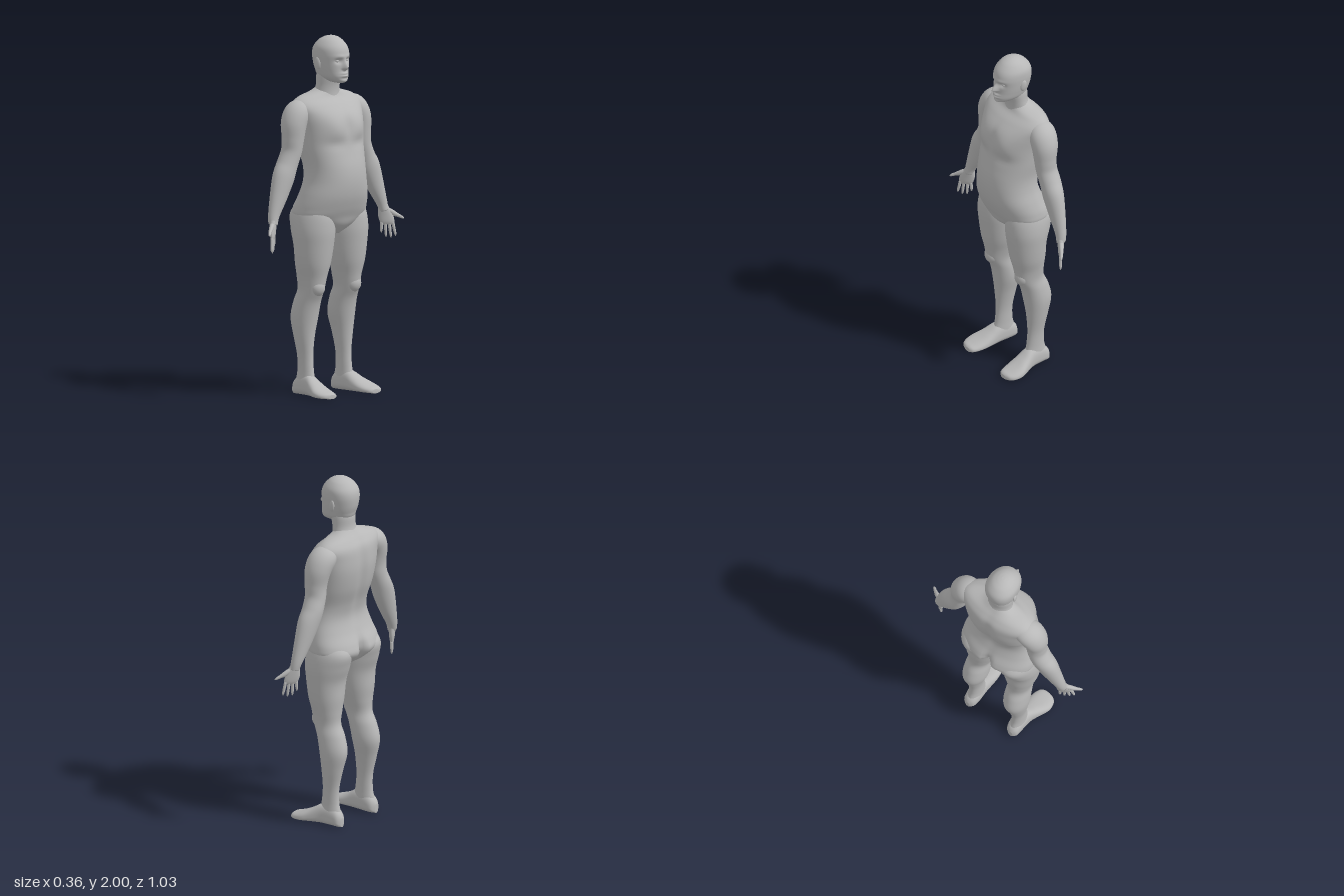
import * as THREE from 'three';

const skin = new THREE.MeshStandardMaterial({ color: 0xb8b8b8 });
skin.name = 'plainGrey';

const V = (x, y, z) => new THREE.Vector3(x, y, z);
const bump = (d, r) => Math.exp(-((d / r) ** 2));
const pow = (v, e) => Math.sign(v) * Math.abs(v) ** (2 / e);

// Smooth interpolation through a table of section rows
function sample(rows, t) {
  const f = t * (rows.length - 1), i = Math.min(Math.floor(f), rows.length - 2), k = f - i;
  const a = rows[Math.max(i - 1, 0)], b = rows[i], c = rows[i + 1], d = rows[Math.min(i + 2, rows.length - 1)];
  return b.map((p, j) => {
    const m0 = (c[j] - a[j]) / 2, m1 = (d[j] - p) / 2, k2 = k * k, k3 = k2 * k;
    return p * (2 * k3 - 3 * k2 + 1) + m0 * (k3 - 2 * k2 + k) + c[j] * (3 * k2 - 2 * k3) + m1 * (k3 - k2);
  });
}

// Closed skin over a series of rings; side = -1 mirrors it across z
function loft(ring, n, m, side = 1) {
  const pts = [], index = [];
  for (let i = 0; i <= m; i++) {
    for (let j = 0; j < n; j++) pts.push(ring(i / m, (j / n) * Math.PI * 2));
  }
  for (let i = 0; i < m; i++) {
    for (let j = 0; j < n; j++) {
      const a = i * n + j, b = i * n + (j + 1) % n;
      index.push(a, b, a + n, b, b + n, a + n);
    }
  }
  for (const [start, flip] of [[0, false], [m * n, true]]) {
    const centre = V(0, 0, 0);
    for (let j = 0; j < n; j++) centre.addScaledVector(pts[start + j], 1 / n);
    const c = pts.push(centre) - 1;
    for (let j = 0; j < n; j++) {
      const a = start + j, b = start + (j + 1) % n;
      index.push(c, flip ? a : b, flip ? b : a);
    }
  }
  pts.forEach((p) => { p.z *= side; });
  // Turn the faces outward
  let volume = 0;
  for (let i = 0; i < index.length; i += 3) {
    volume += pts[index[i]].dot(pts[index[i + 1]].clone().cross(pts[index[i + 2]]));
  }
  if (volume < 0) index.reverse();
  const geometry = new THREE.BufferGeometry().setFromPoints(pts);
  geometry.setIndex(index);
  geometry.computeVertexNormals();
  return geometry;
}

// Upright form; rows are [y, back x, widest x, front x, centre z, half width, roundness]
function upright(rows, n, m, side, sculpt) {
  return loft((t, a) => {
    const [y, back, mid, front, zc, w, e] = sample(rows, t);
    const c = pow(Math.cos(a), e);
    const p = V(mid + c * (c > 0 ? front - mid : mid - back), y, zc + w * pow(Math.sin(a), e));
    if (sculpt) sculpt(p, Math.cos(a));
    return p;
  }, n, m, side);
}

// Form along a path; rows are [x, y, z, radius along u, radius across u]
function limb(rows, n, m, side, u = V(1, 0, 0)) {
  return loft((t, a) => {
    const [x, y, z, ru, rv] = sample(rows, t);
    const p = sample(rows, Math.max(t - 0.02, 0)), q = sample(rows, Math.min(t + 0.02, 1));
    const v = V(q[0] - p[0], q[1] - p[1], q[2] - p[2]).cross(u).normalize();
    return V(x, y, z).addScaledVector(u, ru * Math.cos(a)).addScaledVector(v, rv * Math.sin(a));
  }, n, m, side);
}

const torsoRows = [
  [0.90, -0.07, -0.02, 0.05, 0, 0.03, 2], [0.95, -0.14, -0.02, 0.10, 0, 0.15, 2],
  [1.00, -0.182, -0.03, 0.122, 0, 0.222, 2.2], [1.05, -0.172, -0.03, 0.145, 0, 0.228, 2.2],
  [1.12, -0.135, -0.01, 0.168, 0, 0.212, 2.2], [1.20, -0.112, 0, 0.178, 0, 0.19, 2.2],
  [1.28, -0.125, 0, 0.172, 0, 0.183, 2.2], [1.38, -0.16, -0.02, 0.148, 0, 0.195, 2.2],
  [1.48, -0.178, -0.04, 0.138, 0, 0.205, 2.2], [1.56, -0.178, -0.05, 0.118, 0, 0.22, 2.1],
  [1.62, -0.168, -0.06, 0.07, 0, 0.235, 2], [1.66, -0.142, -0.065, 0.025, 0, 0.195, 2],
  [1.69, -0.115, -0.06, 0.01, 0, 0.10, 2], [1.72, -0.09, -0.05, 0, 0, 0.05, 2],
];
// Spine groove, cleft, chest and navel line
function sculptTorso(p, facing) {
  const z = Math.abs(p.z);
  if (facing < 0) {
    p.x += 0.016 * bump(z, 0.03) * bump(p.y - 1.42, 0.2) + 0.05 * bump(z, 0.025) * bump(p.y - 0.99, 0.07);
  } else {
    p.x += 0.012 * bump(z - 0.09, 0.06) * bump(p.y - 1.5, 0.06);
    p.x -= 0.008 * bump(z - 0.08, 0.07) * bump(p.y - 1.41, 0.03) + 0.005 * bump(z, 0.02) * bump(p.y - 1.5, 0.08);
  }
}

const neckRows = [
  [1.61, -0.14, -0.06, 0.03, 0, 0.10, 2], [1.67, -0.115, -0.05, 0.02, 0, 0.082, 2],
  [1.72, -0.097, -0.035, 0.022, 0, 0.072, 2], [1.78, -0.095, -0.03, 0.035, 0, 0.07, 2],
  [1.83, -0.08, -0.03, 0.03, 0, 0.06, 2],
];
const headRows = [
  [1.742, 0.02, 0.05, 0.085, 0, 0.02, 2], [1.752, -0.03, 0.03, 0.105, 0, 0.045, 2],
  [1.775, -0.088, 0, 0.107, 0, 0.068, 2.1], [1.81, -0.104, -0.01, 0.1, 0, 0.079, 2.2],
  [1.85, -0.116, -0.015, 0.098, 0, 0.086, 2.2], [1.90, -0.121, -0.02, 0.1, 0, 0.09, 2.2],
  [1.94, -0.112, -0.02, 0.088, 0, 0.085, 2.1], [1.975, -0.083, -0.015, 0.058, 0, 0.062, 2],
  [1.993, -0.05, -0.01, 0.028, 0, 0.035, 2], [2.0, -0.02, -0.01, 0, 0, 0.01, 2],
];
// Eye sockets, brow, nose, lips and chin crease
function sculptHead(p, facing) {
  if (facing < 0.2) return;
  const z = Math.abs(p.z), y = p.y;
  const nose = y > 1.828 ? bump(y - 1.828, 0.035) : bump(y - 1.828, 0.012);
  p.x += 0.034 * nose * bump(z, 0.008 + 0.006 * nose);
  p.x += 0.005 * bump(y - 1.89, 0.011) * bump(z - 0.025, 0.03);
  p.x -= 0.014 * bump(y - 1.867, 0.014) * bump(z - 0.034, 0.018);
  p.x += 0.009 * (bump(y - 1.797, 0.006) + bump(y - 1.783, 0.006)) * bump(z, 0.022);
  p.x -= 0.004 * bump(y - 1.768, 0.008) * bump(z, 0.03);
}

const legRows = [
  [1.10, -0.08, -0.02, 0.06, 0.12, 0.07, 2], [1.02, -0.168, -0.03, 0.10, 0.122, 0.106, 2],
  [0.93, -0.155, -0.02, 0.108, 0.125, 0.117, 2], [0.84, -0.126, -0.02, 0.10, 0.127, 0.111, 2],
  [0.74, -0.12, -0.02, 0.086, 0.13, 0.097, 2], [0.66, -0.112, -0.03, 0.068, 0.132, 0.078, 2],
  [0.59, -0.112, -0.03, 0.055, 0.135, 0.066, 2], [0.52, -0.142, -0.05, 0.024, 0.137, 0.07, 2],
  [0.43, -0.162, -0.07, 0.005, 0.14, 0.07, 2], [0.33, -0.14, -0.07, -0.008, 0.145, 0.054, 2],
  [0.22, -0.116, -0.065, -0.013, 0.145, 0.038, 2], [0.13, -0.116, -0.06, -0.005, 0.145, 0.036, 2],
  [0.06, -0.13, -0.06, 0.01, 0.146, 0.038, 2], [0.03, -0.1, -0.06, -0.02, 0.146, 0.02, 2],
];
// Foot rows are [x, top y, centre z, half width]
const footRows = [
  [-0.147, 0.05, 0.148, 0.012], [-0.13, 0.08, 0.147, 0.034], [-0.09, 0.11, 0.146, 0.042],
  [-0.02, 0.115, 0.15, 0.046], [0.04, 0.083, 0.16, 0.058], [0.09, 0.058, 0.17, 0.067],
  [0.135, 0.041, 0.173, 0.062], [0.165, 0.032, 0.17, 0.046], [0.177, 0.023, 0.165, 0.022],
];
const armRows = [
  [-0.065, 1.605, 0.14, 0.06, 0.045], [-0.058, 1.582, 0.205, 0.078, 0.07],
  [-0.052, 1.525, 0.243, 0.076, 0.07], [-0.047, 1.44, 0.255, 0.064, 0.061],
  [-0.05, 1.37, 0.264, 0.061, 0.056], [-0.054, 1.30, 0.292, 0.06, 0.059],
  [-0.05, 1.23, 0.325, 0.056, 0.066], [-0.045, 1.13, 0.366, 0.044, 0.054],
  [-0.038, 1.03, 0.408, 0.031, 0.034], [-0.03, 0.98, 0.422, 0.026, 0.026],
];
const across = V(0.6, 0, 0.8);
const palmRows = [
  [-0.036, 1.03, 0.41, 0.022, 0.02], [-0.03, 0.99, 0.42, 0.032, 0.02], [-0.024, 0.95, 0.428, 0.042, 0.017],
  [-0.018, 0.915, 0.434, 0.041, 0.013], [-0.016, 0.898, 0.436, 0.033, 0.007],
];
const thumbRows = [
  [-0.025, 0.99, 0.428, 0.012, 0.012], [-0.003, 0.965, 0.46, 0.017, 0.013],
  [0.016, 0.948, 0.487, 0.011, 0.009], [0.03, 0.937, 0.504, 0.008, 0.007], [0.036, 0.932, 0.511, 0.003, 0.003],
];

export function createModel() {
  const model = new THREE.Group();
  model.name = 'standingMan';
  const add = (name, geometry) => {
    const mesh = new THREE.Mesh(geometry, skin);
    mesh.name = name;
    model.add(mesh);
    return mesh;
  };
  const ball = (name, x, y, z, sx, sy, sz) => {
    const mesh = add(name, new THREE.SphereGeometry(1, 20, 14));
    mesh.position.set(x, y, z);
    mesh.scale.set(sx, sy, sz);
    return mesh;
  };

  add('torso', upright(torsoRows, 96, 80, 1, sculptTorso));
  add('neck', upright(neckRows, 40, 20, 1));
  add('head', upright(headRows, 128, 90, 1, sculptHead));

  for (const side of [1, -1]) {
    const s = side > 0 ? 'left' : 'right';
    ball(s + 'Eye', 0.074, 1.867, side * 0.034, 0.011, 0.009, 0.014);
    ball(s + 'Ear', -0.022, 1.85, side * 0.088, 0.019, 0.034, 0.009).rotation.set(0, side * 0.25, 0.15);

    // Leg, kneecap and foot
    add(s + 'Leg', upright(legRows, 40, 70, side));
    ball(s + 'Kneecap', 0.026, 0.605, side * 0.137, 0.04, 0.05, 0.046);
    add(s + 'Foot', loft((t, a) => {
      const [x, top, zc, w] = sample(footRows, t);
      const up = pow(Math.sin(a), 2.4), sole = top * 0.35;
      return V(x, sole + up * (up > 0 ? top - sole : sole), zc + w * pow(Math.cos(a), 2.4));
    }, 36, 40, side));

    // Arm and hand
    add(s + 'Arm', limb(armRows, 36, 60, side));
    add(s + 'Palm', limb(palmRows, 28, 20, side, across));
    add(s + 'Thumb', limb(thumbRows, 14, 16, side, V(0, 1, 0)));
    [0.05, 0.075, 0.08, 0.07].forEach((length, i) => {
      const k = -0.031 + i * 0.0205, f = 1 + length * 4;
      const at = (d, spread, r) => [-0.017 + k * 0.6 * spread + d * 0.05, 0.91 - d, 0.435 + k * 0.8 * spread + d * 0.06, r, r];
      add(s + 'Finger' + (i + 1), limb([
        at(0, 1, 0.009), at(length * 0.5, (1 + f) / 2, 0.0085), at(length * 0.9, f, 0.0065), at(length + 0.006, f, 0.002),
      ], 12, 12, side, across));
    });
  }
  return model;
}
